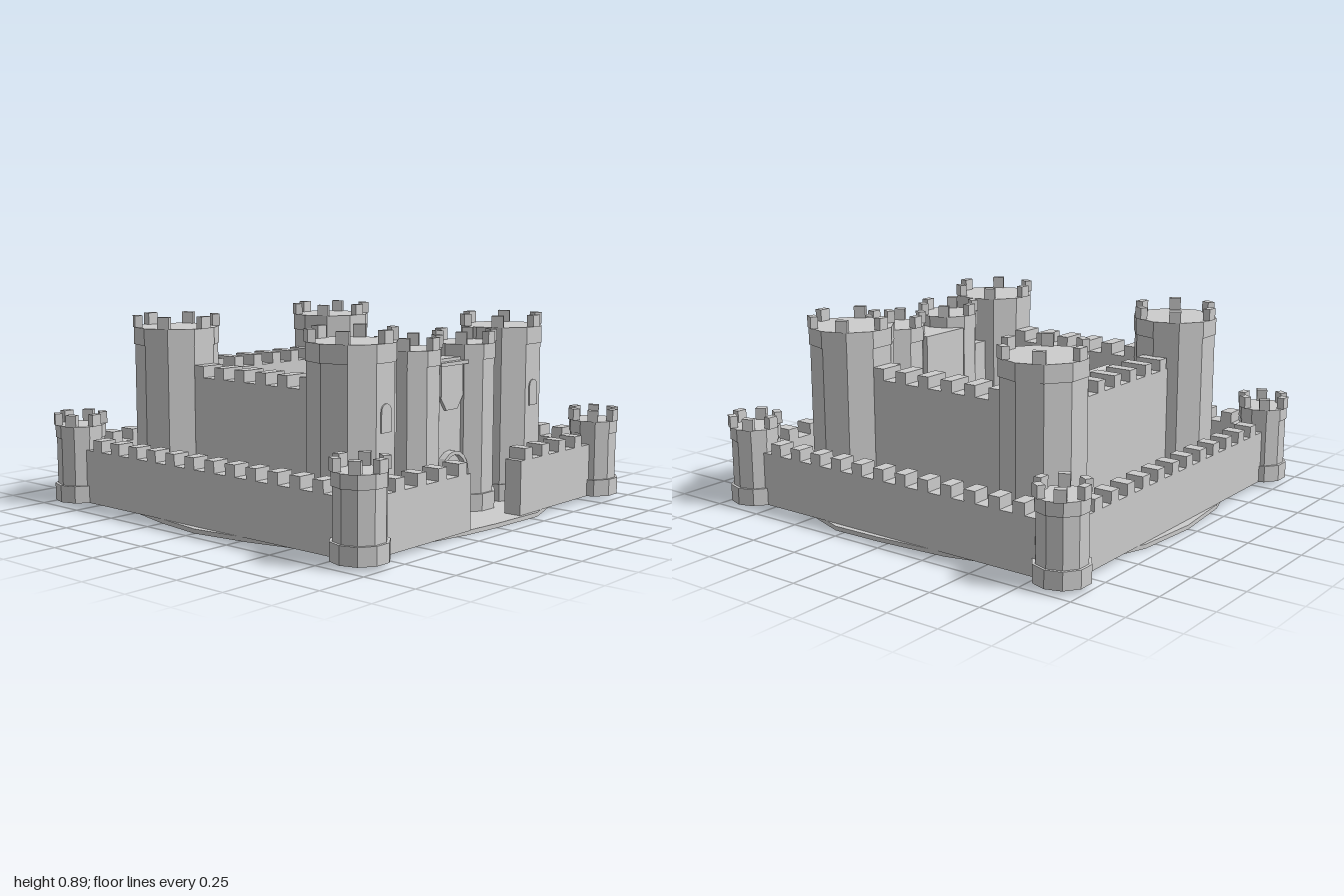
import * as THREE from 'three';

const stone = new THREE.MeshStandardMaterial({ color: 0xcccccc });
stone.name = 'stone';
const GROUND = 0.02;

function add(parent, name, geometry, x = 0, y = 0, z = 0, turn = 0) {
  const mesh = new THREE.Mesh(geometry, stone);
  mesh.name = name;
  mesh.position.set(x, y, z);
  mesh.rotation.y = turn;
  parent.add(mesh);
  return mesh;
}

// Box given by its limits on each axis
function block(parent, name, x0, x1, y0, y1, z0, z1) {
  return add(parent, name, new THREE.BoxGeometry(x1 - x0, y1 - y0, z1 - z0),
    (x0 + x1) / 2, (y0 + y1) / 2, (z0 + z1) / 2);
}

// Ten-sided faceted drum with a flat side facing the front
function drum(parent, name, radius, y0, y1) {
  const g = new THREE.CylinderGeometry(radius, radius, y1 - y0, 10).toNonIndexed();
  g.rotateY(Math.PI / 10);
  g.computeVertexNormals();
  add(parent, name, g, 0, (y0 + y1) / 2, 0);
}

// Tower with plinth, shaft, slightly wider head and six merlons
function tower(parent, name, x, z, { radius, top, head, merlon, plinth }) {
  const t = new THREE.Group();
  t.name = name;
  t.position.set(x, 0, z);
  drum(t, 'plinth', radius + plinth, GROUND, 0.1);
  drum(t, 'shaft', radius - 0.005, 0.1, top - head);
  drum(t, 'head', radius, top - head, top);
  const [w, d] = merlon;
  for (let i = 0; i < 6; i++) {
    const a = i * Math.PI / 3, r = radius * 0.965 - d * 0.25;
    add(t, 'towerMerlon', new THREE.BoxGeometry(w, 0.055, d),
      Math.sin(a) * r, top + 0.0275, Math.cos(a) * r, a);
  }
  parent.add(t);
  return t;
}

// Straight wall with evenly spaced merlons along its longer side
function wall(parent, name, x0, x1, z0, z1, top, count, first, last, width) {
  const w = new THREE.Group();
  w.name = name;
  block(w, 'wallBody', x0, x1, GROUND, top, z0, z1);
  const alongX = x1 - x0 > z1 - z0;
  for (let i = 0; i < count; i++) {
    const c = first + (last - first) * i / (count - 1);
    const a = c - width / 2, b = c + width / 2;
    if (alongX) block(w, 'wallMerlon', a, b, top, top + 0.053, z0, z1);
    else block(w, 'wallMerlon', x0, x1, top, top + 0.053, a, b);
  }
  parent.add(w);
}

// Round-headed outline, standing on y = base
function archShape(Type, half, base, spring, rise) {
  const s = new Type();
  s.moveTo(-half, base);
  s.lineTo(half, base);
  s.lineTo(half, spring);
  for (let i = 1; i <= 8; i++) {
    const a = Math.PI * i / 8;
    s.lineTo(Math.cos(a) * half, spring + Math.sin(a) * rise);
  }
  s.closePath();
  return s;
}

const extrude = (shape, depth) =>
  new THREE.ExtrudeGeometry(shape, { depth, bevelEnabled: false, curveSegments: 6 });

export function createModel() {
  const castle = new THREE.Group();
  castle.name = 'castle';

  // Irregular ground slab
  const rim = [[-0.95, 0], [-0.915, -0.25], [-0.82, -0.63], [-0.61, -0.83], [-0.33, -0.92],
    [0, -0.955], [0.32, -0.93], [0.6, -0.83], [0.825, -0.63], [0.91, -0.3], [0.94, 0.05],
    [0.945, 0.3], [0.83, 0.62], [0.63, 0.82], [0.3, 0.93], [0, 0.92], [-0.2, 0.9],
    [-0.61, 0.82], [-0.83, 0.61], [-0.91, 0.28]];
  const slab = extrude(new THREE.Shape(rim.map(([x, z]) => new THREE.Vector2(x, -z))), GROUND);
  slab.rotateX(-Math.PI / 2);
  add(castle, 'groundSlab', slab);

  // Corner towers of the outer ring and the tall inner towers
  const outer = { radius: 0.117, top: 0.38, head: 0.06, merlon: [0.05, 0.035], plinth: 0.008 };
  const keep = { radius: 0.2, top: 0.84, head: 0.08, merlon: [0.055, 0.035], plinth: 0.004 };
  const windowShape = archShape(THREE.Shape, 0.032, 0.47, 0.56, 0.032);
  for (const sx of [-1, 1]) {
    for (const sz of [-1, 1]) {
      tower(castle, 'outerTower', sx * 0.87, sz * 0.87, outer);
      const t = tower(castle, 'innerTower', sx * 0.545, sz * 0.545, keep);
      if (sz > 0) add(t, 'window', extrude(windowShape, 0.008), 0, 0, 0.183);
    }
  }

  // Outer walls, open at the front for the approach
  wall(castle, 'outerBackWall', -0.85, 0.85, -0.917, -0.832, 0.27, 12, -0.68, 0.68, 0.06);
  for (const s of [-1, 1]) {
    const [a, b] = s > 0 ? [0.832, 0.917] : [-0.917, -0.832];
    wall(castle, 'outerSideWall', a, b, -0.85, 0.85, 0.27, 12, -0.69, 0.69, 0.058);
    const [c, d] = s > 0 ? [0.19, 0.85] : [-0.85, -0.19];
    wall(castle, 'outerFrontWall', c, d, 0.826, 0.911, 0.27, 4, s * 0.25, s * 0.67, 0.06);
  }

  // Inner walls
  wall(castle, 'innerBackWall', -0.5, 0.5, -0.612, -0.483, 0.62, 6, -0.33, 0.33, 0.057);
  for (const s of [-1, 1]) {
    const [a, b] = s > 0 ? [0.483, 0.605] : [-0.605, -0.483];
    wall(castle, 'innerSideWall', a, b, -0.5, 0.5, 0.62, 6, -0.33, 0.33, 0.06);
    const [c, d] = s > 0 ? [0.25, 0.45] : [-0.45, -0.25];
    block(castle, 'innerFrontWall', c, d, GROUND, 0.62, 0.475, 0.6);
  }

  // Gatehouse: two towers, block between, ledge and arched doorway
  const gate = new THREE.Group();
  gate.name = 'gatehouse';
  castle.add(gate);
  for (const s of [-1, 1]) {
    tower(gate, 'gateTower', s * 0.205, 0.58,
      { radius: 0.148, top: 0.785, head: 0.07, merlon: [0.05, 0.035], plinth: 0.006 });
  }
  block(gate, 'gateBlock', -0.14, 0.14, GROUND, 0.73, 0.432, 0.65);
  block(gate, 'gateLedge', -0.1, 0.1, 0.7, 0.716, 0.64, 0.68);
  const screen = new THREE.Shape();
  [[-0.04, 0.5], [0.04, 0.5], [0.08, 0.555], [0.08, 0.7], [-0.08, 0.7], [-0.08, 0.555]]
    .forEach(([x, y], i) => (i ? screen.lineTo(x, y) : screen.moveTo(x, y)));
  add(gate, 'gateScreen', extrude(screen, 0.02), 0, 0, 0.645);
  const frame = archShape(THREE.Shape, 0.1, GROUND, 0.215, 0.1);
  frame.holes.push(archShape(THREE.Path, 0.083, GROUND + 0.001, 0.215, 0.083));
  add(gate, 'doorFrame', extrude(frame, 0.04), 0, 0, 0.645);
  add(gate, 'door', extrude(archShape(THREE.Shape, 0.084, GROUND, 0.215, 0.084), 0.008), 0, 0, 0.65);

  // Hall in the courtyard with a steep gabled roof
  const hall = new THREE.Group();
  hall.name = 'hall';
  hall.position.z = -0.25;
  castle.add(hall);
  block(hall, 'hallWalls', -0.36, 0.36, GROUND, 0.345, -0.18, 0.18);
  const gable = new THREE.Shape();
  gable.moveTo(-0.23, 0.28);
  gable.lineTo(0.23, 0.28);
  gable.lineTo(0, 0.565);
  gable.closePath();
  const roof = extrude(gable, 0.81);
  roof.translate(0, 0, -0.405);
  roof.rotateY(Math.PI / 2);
  add(hall, 'hallRoof', roof);
  const ridge = new THREE.CylinderGeometry(0.02, 0.02, 0.84, 8);
  ridge.rotateZ(Math.PI / 2);
  add(hall, 'ridgeBeam', ridge, 0, 0.565, 0);

  return castle;
}
